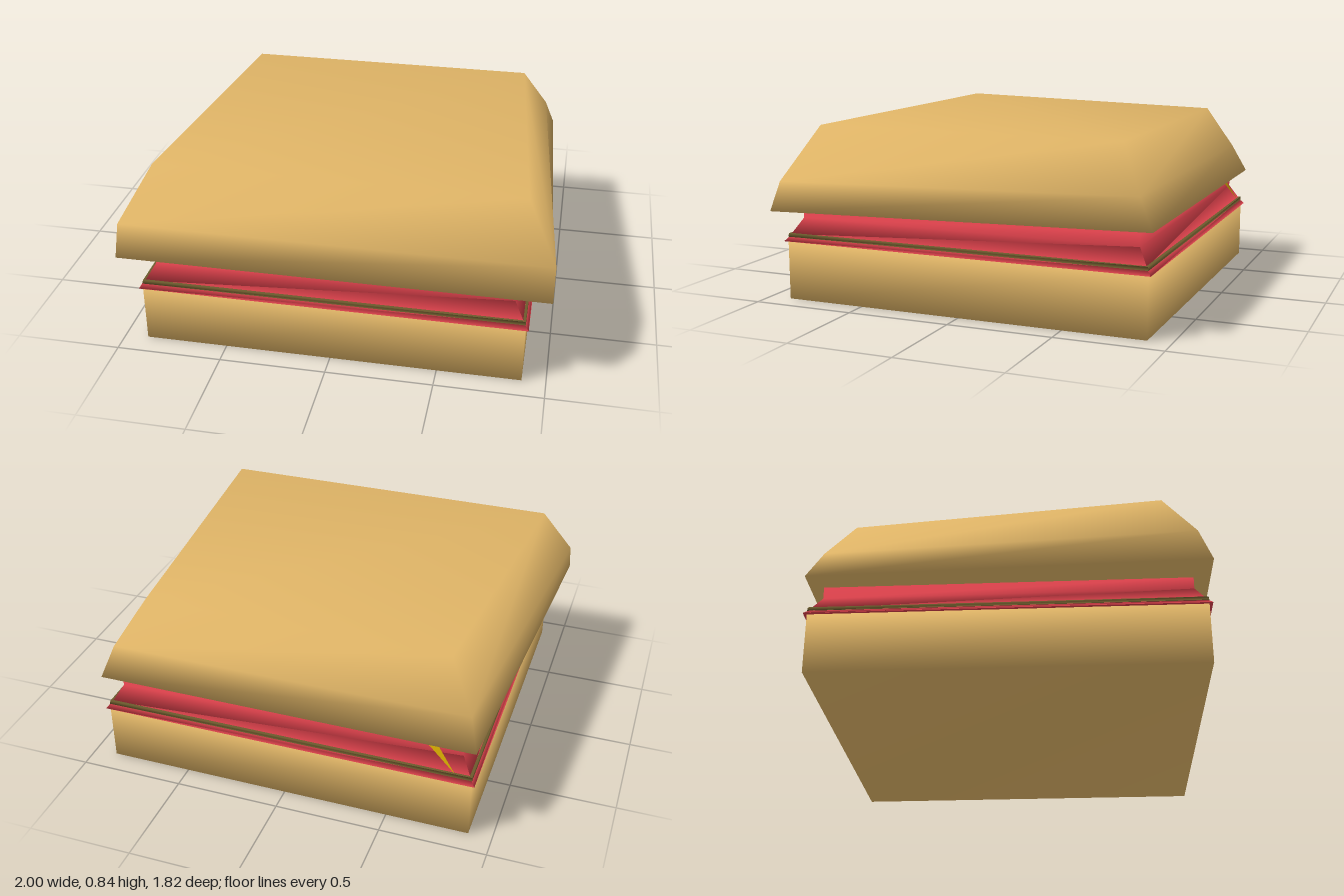
import * as THREE from 'three';

const BUN = 0xdfb466, RED = 0xd9404a, DARK = 0x6b5a2c, YELLOW = 0xd0a800;

// Smooth four-sided loft. Ring: [xFront, xBack, zFront, zBack, yFront, yBack], bottom to top.
function loft(name, color, rings) {
  const pos = [], idx = [];
  for (const [xf, xb, zf, zb, yf, yb] of rings) {
    pos.push(-xf, yf, zf, xf, yf, zf, xb, yb, zb, -xb, yb, zb);
  }
  for (let r = 0; r < rings.length - 1; r++) {
    for (let i = 0; i < 4; i++) {
      const a = r * 4 + i, b = r * 4 + (i + 1) % 4;
      idx.push(a, b, b + 4, a, b + 4, a + 4);
    }
  }
  const t = (rings.length - 1) * 4;
  idx.push(0, 2, 1, 0, 3, 2, t, t + 1, t + 2, t, t + 2, t + 3);
  const geo = new THREE.BufferGeometry();
  geo.setAttribute('position', new THREE.Float32BufferAttribute(pos, 3));
  geo.setIndex(idx);
  geo.computeVertexNormals();
  const mesh = new THREE.Mesh(geo, new THREE.MeshStandardMaterial({ color, side: THREE.DoubleSide }));
  mesh.name = name;
  return mesh;
}

// Level square ring of half-width s at height y
const square = (s, y) => [s, s, s, -s, y, y];

export function createModel() {
  const g = new THREE.Group();
  g.name = 'sandwich';

  g.add(loft('bottomBun', BUN, [square(0.89, 0), square(0.89, 0.285)]));

  // Thin slices between the buns
  g.add(loft('lowerSlice', RED, [square(0.905, 0.283), square(0.885, 0.305)]));
  g.add(loft('darkSlice', DARK, [square(0.89, 0.303), square(0.888, 0.32)]));

  // Thick slice with a flared lower edge
  g.add(loft('upperSlice', RED, [square(0.88, 0.315), square(0.835, 0.39), square(0.835, 0.447)]));

  // Thin cheese sheet and its drooping back edge
  g.add(loft('cheese', YELLOW, [
    [0.8, 0.8, 0.55, -0.83, 0.445, 0.448],
    [0.8, 0.8, 0.55, -0.83, 0.448, 0.453],
  ]));
  const flap = new THREE.BufferGeometry();
  flap.setAttribute('position', new THREE.Float32BufferAttribute(
    [-0.7, 0.45, -0.837, -0.64, 0.45, -0.837, -0.81, 0.32, -0.886], 3));
  flap.setIndex([0, 1, 2]);
  flap.computeVertexNormals();
  const flapMesh = new THREE.Mesh(flap, new THREE.MeshStandardMaterial({ color: YELLOW, side: THREE.DoubleSide }));
  flapMesh.name = 'cheeseEdge';
  g.add(flapMesh);

  // Top bun, narrower and slightly tilted towards the back
  g.add(loft('topBun', BUN, [
    [1, 0.905, 0.91, -0.91, 0.445, 0.47],
    [1, 0.86, 0.85, -0.84, 0.59, 0.61],
    [0.86, 0.735, 0.71, -0.725, 0.843, 0.823],
  ]));
  return g;
}
